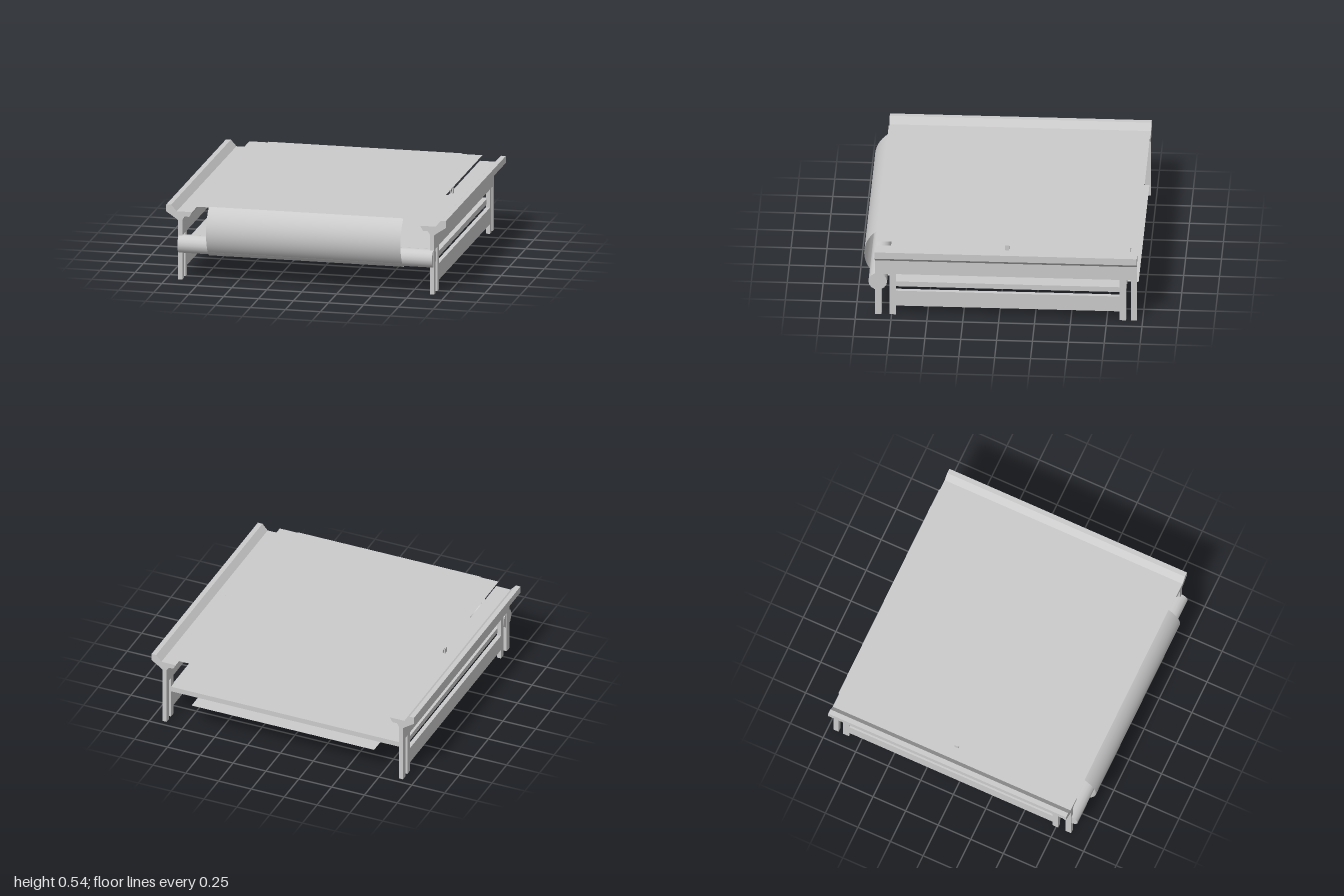
import * as THREE from 'three';

export function createModel() {
  const model = new THREE.Group();
  const grey = new THREE.MeshStandardMaterial({ color: 0xcccccc });
  const sheetGrey = new THREE.MeshStandardMaterial({ color: 0xcccccc, side: THREE.DoubleSide });
  const Z0 = -0.96, Z1 = 0.865;

  const add = (parent, name, geometry, material = grey) => {
    const mesh = new THREE.Mesh(geometry, material);
    mesh.name = name;
    parent.add(mesh);
    return mesh;
  };
  // box given by its minimum and maximum corners
  const box = (parent, name, x0, x1, y0, y1, z0, z1) =>
    add(parent, name, new THREE.BoxGeometry(x1 - x0, y1 - y0, z1 - z0))
      .position.set((x0 + x1) / 2, (y0 + y1) / 2, (z0 + z1) / 2);
  // flat horizontal sheet, symmetric in x
  const sheet = (parent, name, halfWidth, y, z0, z1) =>
    add(parent, name, new THREE.PlaneGeometry(2 * halfWidth, z1 - z0).rotateX(-Math.PI / 2), sheetGrey)
      .position.set(0, y, (z0 + z1) / 2);

  // side frames: profiled rail, paired legs and a lower beam
  const railProfile = [
    [1, 0.535], [0.965, 0.535], [0.925, 0.49], [0.815, 0.49], [0.835, 0.455], [0.868, 0.455],
    [0.885, 0.43], [0.885, 0.32], [0.915, 0.32], [0.915, 0.425], [0.93, 0.438], [1, 0.485],
  ];
  const legs = [[0.82, Z1], [0.72, 0.765], [-0.885, -0.84], [Z0, -0.92]];
  for (const side of [1, -1]) {
    const frame = new THREE.Group();
    frame.name = side > 0 ? 'leftFrame' : 'rightFrame';
    model.add(frame);
    const shape = new THREE.Shape(railProfile.map(([x, y]) => new THREE.Vector2(side * x, y)));
    add(frame, 'rail', new THREE.ExtrudeGeometry(shape, { depth: Z1 - Z0, bevelEnabled: false }))
      .position.z = Z0;
    const sideBox = (name, x0, x1, ...rest) =>
      box(frame, name, Math.min(side * x0, side * x1), Math.max(side * x0, side * x1), ...rest);
    for (const [z0, z1] of legs) sideBox('leg', 0.885, 0.915, 0, 0.32, z0, z1);
    sideBox('lowerBeam', 0.885, 0.915, 0.07, 0.188, -0.84, 0.72);
    // small upright clip beside the deck edge
    sideBox('clipInner', 0.817, 0.823, 0.49, 0.515, -0.065, -0.035);
    sideBox('clipOuter', 0.832, 0.838, 0.49, 0.527, -0.065, -0.035);
  }

  // shelf between the frames
  box(model, 'shelf', -0.89, 0.89, 0.21, 0.248, -0.885, 0.765);

  // thin deck under the belt
  sheet(model, 'deck', 0.833, 0.531, Z0, Z1);

  // belt: top run, curved front and lower run
  const belt = new THREE.Group();
  belt.name = 'belt';
  model.add(belt);
  const top = 0.536, bottom = 0.187, half = (top - bottom) / 2, bulge = 0.088;
  const radius = (half * half + bulge * bulge) / (2 * bulge);
  const angle = Math.asin(half / radius);
  sheet(belt, 'beltTop', 0.695, top, Z0, Z1);
  sheet(belt, 'beltBottom', 0.695, bottom, Z0, Z1);
  add(belt, 'beltFront',
    new THREE.CylinderGeometry(radius, radius, 1.39, 24, 1, true, -angle, 2 * angle).rotateZ(Math.PI / 2),
    sheetGrey).position.set(0, (top + bottom) / 2, Z1 + bulge - radius);

  // front roller
  add(model, 'roller', new THREE.CylinderGeometry(0.065, 0.065, 1.82, 16).rotateZ(Math.PI / 2))
    .position.set(0, 0.256, 0.847);

  return model;
}
